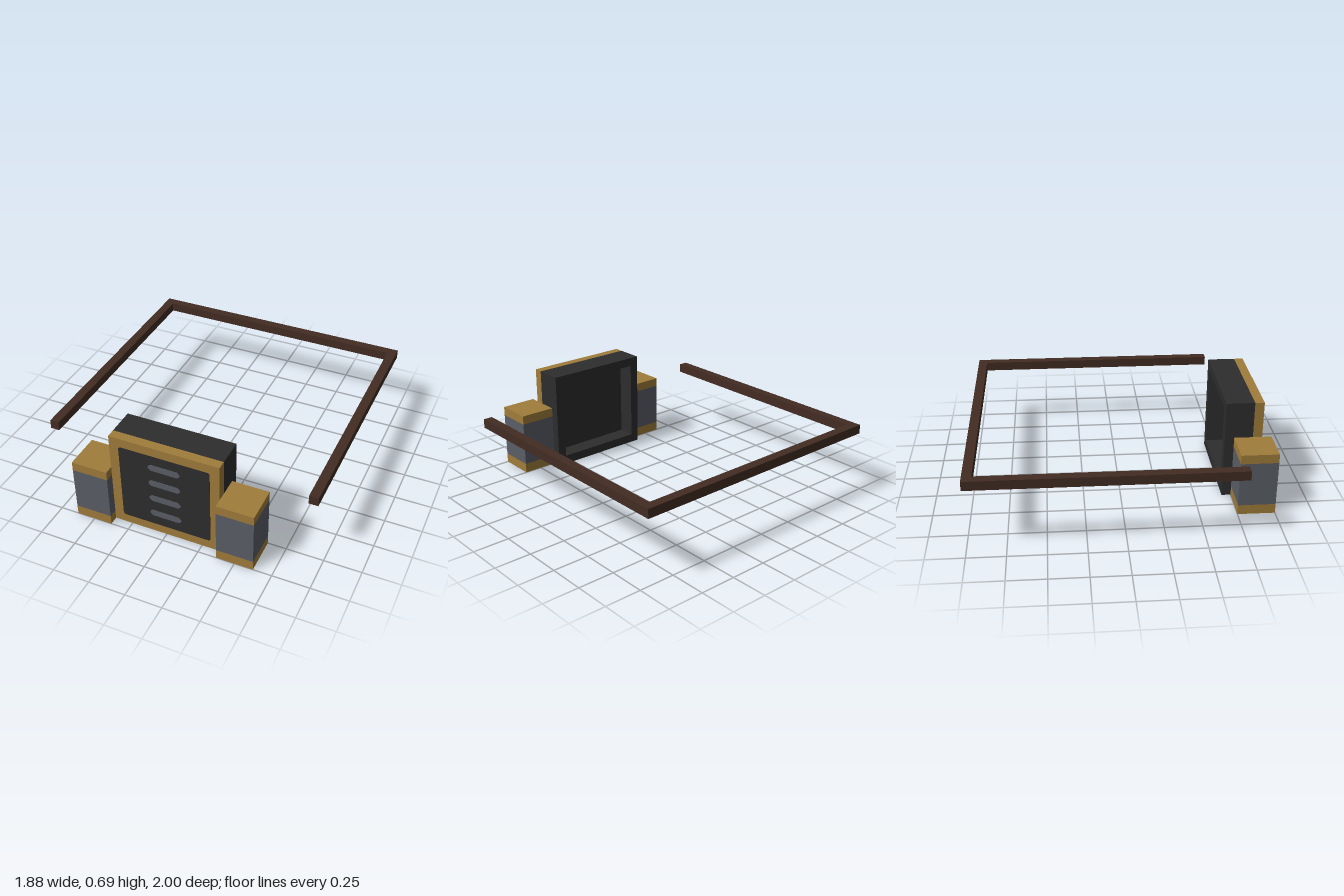
import * as THREE from 'three';

const U = 1 / 16; // building unit

const paint = (name, color) => {
  const m = new THREE.MeshStandardMaterial({ color });
  m.name = name;
  return m;
};

// Box given by its min and max corners, in units
function box(name, mat, [x0, y0, z0], [x1, y1, z1]) {
  const geo = new THREE.BoxGeometry((x1 - x0) * U, (y1 - y0) * U, (z1 - z0) * U);
  const mesh = new THREE.Mesh(geo, mat);
  mesh.name = name;
  mesh.position.set((x0 + x1) * U / 2, (y0 + y1) * U / 2, (z0 + z1) * U / 2);
  return mesh;
}

// Thin plate with chamfered corners, facing +z
function plate(name, mat, w, h, cut, y, z) {
  const a = w / 2, b = h / 2;
  const shape = new THREE.Shape([
    [a - cut, -b], [a, -b + cut], [a, b - cut], [a - cut, b],
    [-a + cut, b], [-a, b - cut], [-a, -b + cut], [-a + cut, -b],
  ].map(([px, py]) => new THREE.Vector2(px, py)));
  const geo = new THREE.ExtrudeGeometry(shape, { depth: 0.002, bevelEnabled: false });
  const mesh = new THREE.Mesh(geo, mat);
  mesh.name = name;
  mesh.position.set(0, y, z);
  return mesh;
}

export function createModel() {
  const gold = paint('gold', 0xa07c3a);
  const black = paint('black', 0x2d2d2d);
  const grey = paint('grey', 0x5b5e66);
  const brown = paint('brown leather', 0x432c23);
  const model = new THREE.Group();
  model.name = 'belt';

  // Leather strap: back run and two side runs
  const strap = new THREE.Group();
  strap.name = 'strap';
  strap.add(
    box('strapBack', brown, [-14, 7, -16], [14, 8, -15]),
    box('strapRight', brown, [-15, 7, -16], [-14, 8, 12]),
    box('strapLeft', brown, [14, 7, -16], [15, 8, 12]),
  );
  model.add(strap);

  // Buckle: gold frame with a hollow black housing behind it
  const buckle = new THREE.Group();
  buckle.name = 'buckle';
  buckle.add(
    box('buckleFrame', gold, [-6, 0, 14], [6, 11, 15]),
    box('housingFloor', black, [-6, 0, 13], [6, 11, 14]),
    box('housingBottom', black, [-6, 0, 11], [6, 1, 13]),
    box('housingTop', black, [-6, 10, 11], [6, 11, 13]),
    box('housingRight', black, [-6, 1, 11], [-5, 10, 13]),
    box('housingLeft', black, [5, 1, 11], [6, 10, 13]),
    plate('bucklePanel', black, 0.62, 0.56, 0.012, 5.5 * U, 15 * U),
  );
  for (let i = 0; i < 4; i++) {
    buckle.add(plate('slot', grey, 0.22, 0.046, 0.018, 0.158 + i * 0.125, 15 * U + 0.002));
  }
  model.add(buckle);

  // Side pouches: gold caps around a grey band
  for (const [side, x] of [['right', -10], ['left', 6]]) {
    const pouch = new THREE.Group();
    pouch.name = side + 'Pouch';
    pouch.add(
      box('pouchBase', gold, [x, 0, 12], [x + 4, 1.08, 16]),
      box('pouchBand', grey, [x, 1.08, 12], [x + 4, 6, 16]),
      box('pouchLid', gold, [x, 6, 12], [x + 4, 7, 16]),
    );
    model.add(pouch);
  }
  return model;
}
